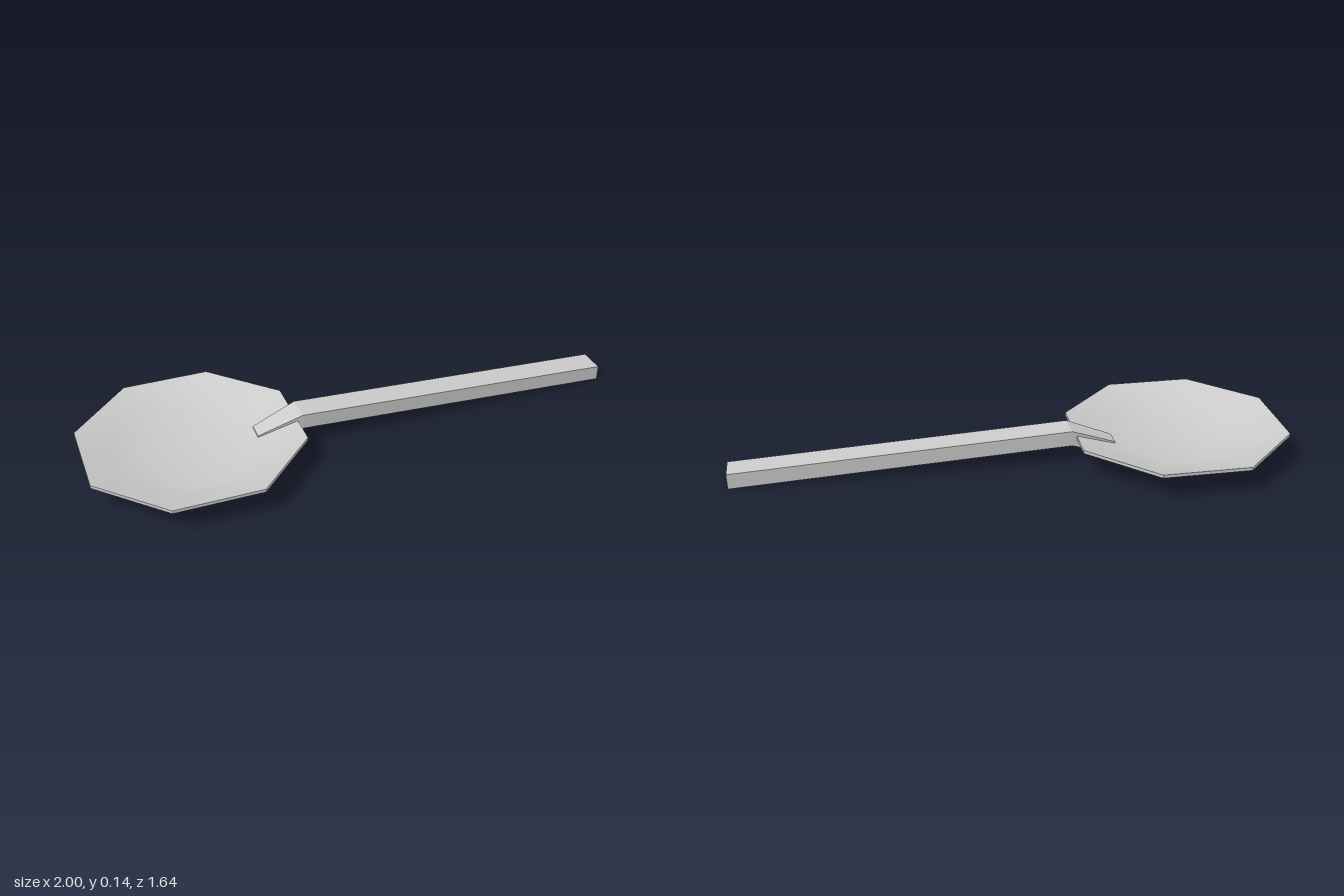
import * as THREE from 'three';
import { toCreasedNormals } from 'three/addons/utils/BufferGeometryUtils.js';

// Square-section bar lofted through stations: [x, z] of each side edge, bottom y and top y
function loftBar(stations) {
  const rings = stations.map(({ a, b, y0, y1 }) => [
    [a[0], y0, a[1]], [b[0], y0, b[1]], [b[0], y1, b[1]], [a[0], y1, a[1]],
  ]);
  const pos = [];
  const quad = (p, q, r, s) => pos.push(...p, ...q, ...r, ...p, ...r, ...s);
  for (let k = 0; k < rings.length - 1; k++) {
    for (let i = 0; i < 4; i++) {
      const j = (i + 1) % 4;
      quad(rings[k][i], rings[k + 1][i], rings[k + 1][j], rings[k][j]);
    }
  }
  quad(...rings[0]);
  quad(...rings[rings.length - 1].slice().reverse());
  const geo = new THREE.BufferGeometry();
  geo.setAttribute('position', new THREE.Float32BufferAttribute(pos, 3));
  geo.computeVertexNormals();
  return geo;
}

export function createModel() {
  const group = new THREE.Group();
  const material = new THREE.MeshStandardMaterial({ color: 0xcccccc });

  // Shallow eight-sided bowl: outside, thin rim, then inside
  const profile = [
    [0, 0.03], [0.245, 0.03], [0.36, 0.065], [0.48, 0.102],
    [0.48, 0.116], [0.36, 0.08], [0.245, 0.045], [0, 0.045],
  ].map(([r, y]) => new THREE.Vector2(r, y));
  const bowlGeo = new THREE.LatheGeometry(profile, 8, THREE.MathUtils.degToRad(14.8));
  const bowl = new THREE.Mesh(toCreasedNormals(bowlGeo, 0.6), material);
  bowl.name = 'bowl';
  bowl.position.set(-0.536, 0, 0.355);
  group.add(bowl);

  // Handle: narrow tip sunk through the bowl, bend over the rim, long straight grip
  const handle = new THREE.Mesh(loftBar([
    { a: [-0.34, 0.16], b: [-0.295, 0.22], y0: 0.008, y1: 0.068 },
    { a: [-0.2, 0.033], b: [-0.13, 0.12], y0: 0.073, y1: 0.139 },
    { a: [0.93, -0.82], b: [1, -0.73], y0: 0, y1: 0.066 },
  ]), material);
  handle.name = 'handle';
  group.add(handle);

  return group;
}
